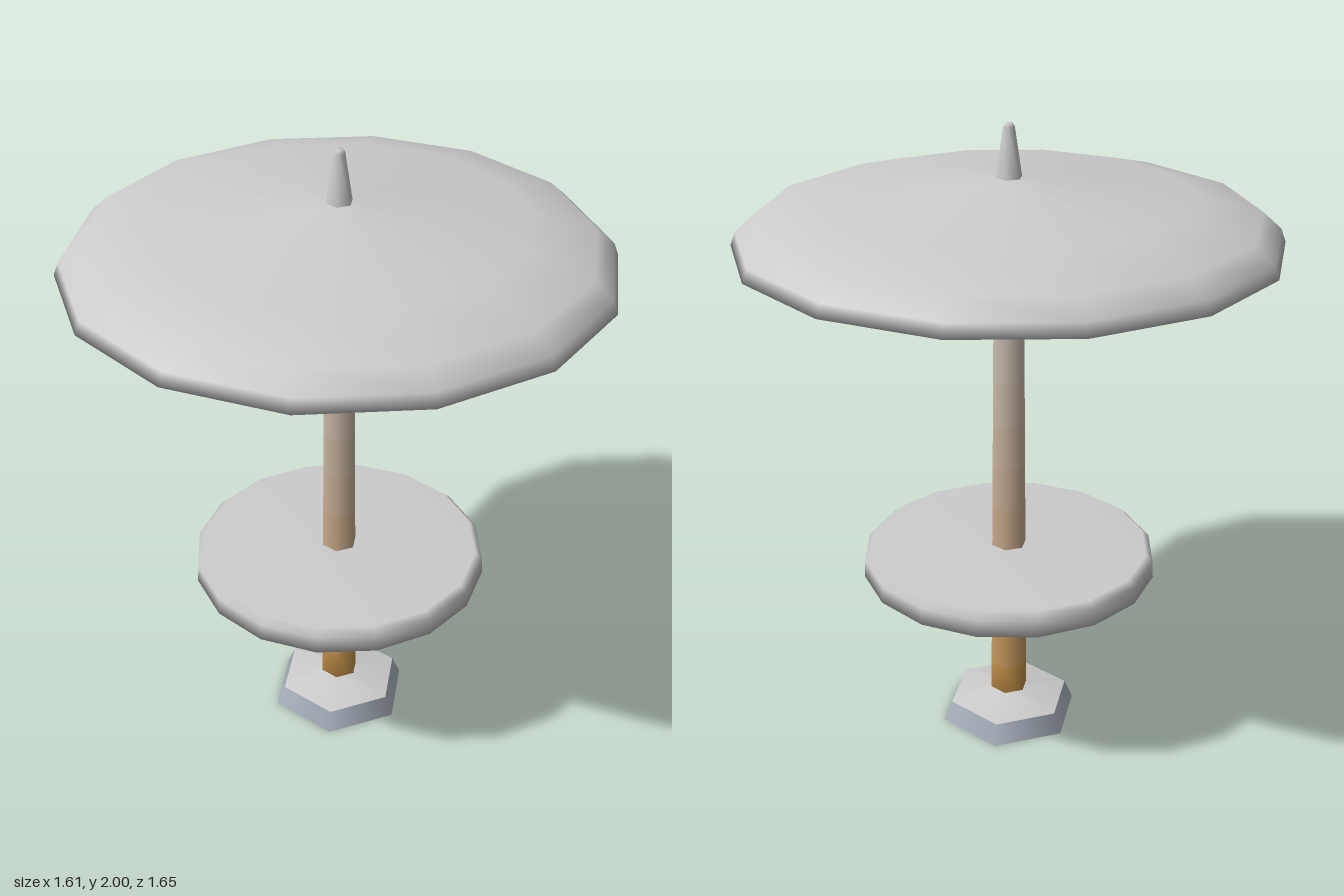
import * as THREE from 'three';

// Smooth surface of revolution; profile runs from bottom to top as [radius, y]
function lathe(name, profile, sides, color = 0xcccccc, side = THREE.FrontSide) {
  const points = profile.map(([r, y]) => new THREE.Vector2(r, y));
  const mesh = new THREE.Mesh(
    new THREE.LatheGeometry(points, sides),
    new THREE.MeshStandardMaterial({ color, side })
  );
  mesh.name = name;
  return mesh;
}

export function createModel() {
  const group = new THREE.Group();
  group.name = 'parasolTable';

  // Hollow hexagonal foot, bluish around the skirt
  group.add(
    lathe('footSkirt', [[0.228, 0], [0.2, 0.065]], 6, 0xa4acb8, THREE.DoubleSide),
    lathe('footTop', [[0.2, 0.065], [0.05, 0.1]], 6, 0xcccccc, THREE.DoubleSide)
  );

  // Tapered hexagonal pole, fading from tan wood to grey
  const pole = new THREE.Group();
  pole.name = 'pole';
  const bottom = 0.05, top = 1.78, sections = 12;
  const tan = new THREE.Color(0xc8913c), grey = new THREE.Color(0xcccccc);
  const ring = (t) => [
    THREE.MathUtils.lerp(0.062, 0.046, t),
    THREE.MathUtils.lerp(bottom, top, t),
  ];
  for (let i = 0; i < sections; i++) {
    const profile = [ring(i / sections), ring((i + 1) / sections)];
    if (i === 0) profile.unshift([0, bottom]);
    const color = tan.clone().lerp(grey, (i + 0.5) / sections);
    pole.add(lathe('poleSection', profile, 6, color));
  }
  group.add(pole);

  // Round table top with a softened upper edge
  group.add(lathe('tableTop',
    [[0, 0.56], [0.47, 0.56], [0.467, 0.615], [0.445, 0.635], [0, 0.635]], 16));

  // Canopy: shallow dome with a slightly hollow underside
  group.add(lathe('canopy',
    [[0, 1.74], [0.825, 1.64], [0.81, 1.68], [0.755, 1.73], [0.56, 1.785], [0, 1.845]], 14));

  // Finial spike
  group.add(lathe('finial',
    [[0.042, 1.835], [0.018, 1.99], [0.012, 2], [0, 2]], 6));

  return group;
}
